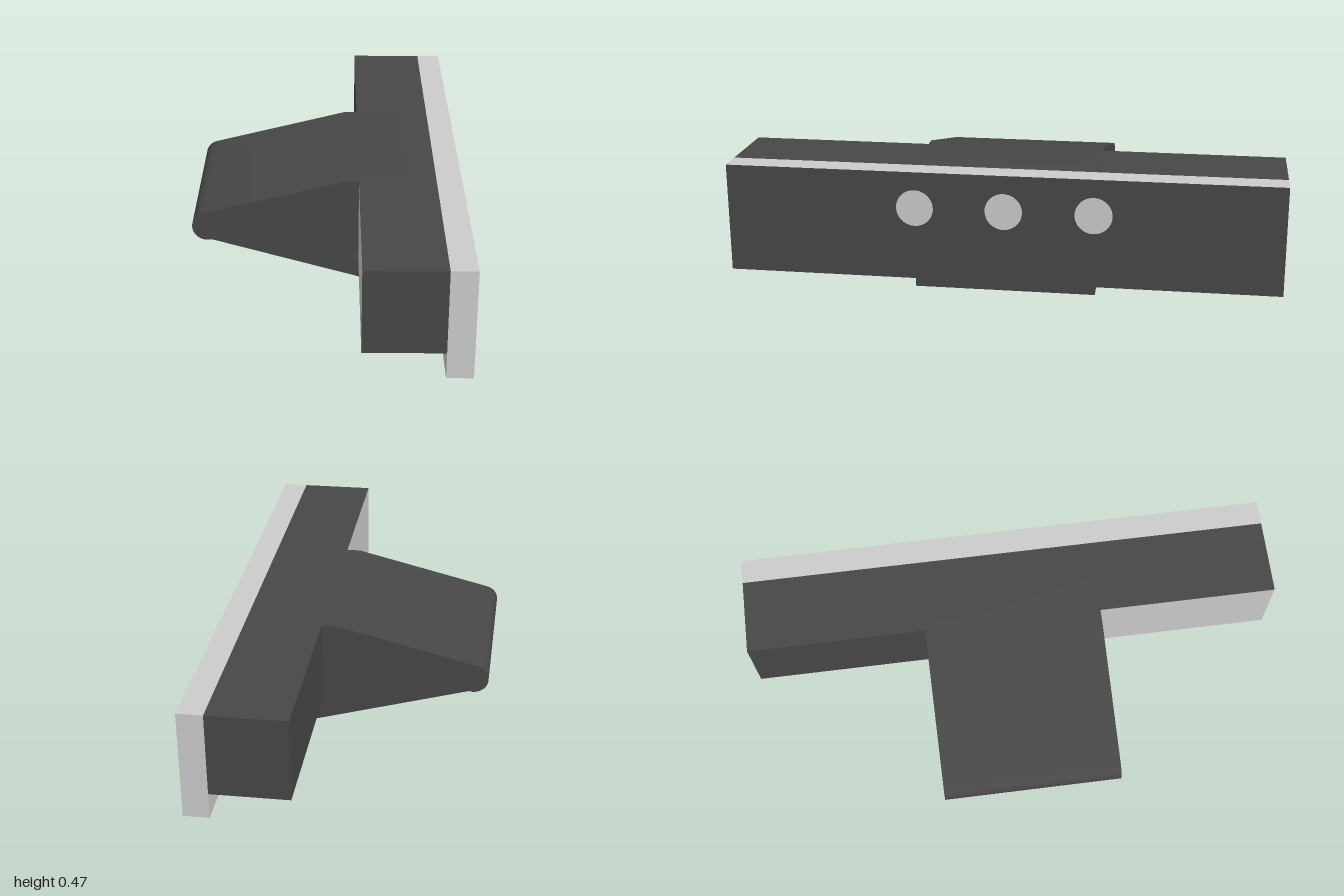
import * as THREE from 'three';
import { toCreasedNormals } from 'three/addons/utils/BufferGeometryUtils.js';

const grey = new THREE.MeshStandardMaterial({ color: 0xcccccc });
const dark = new THREE.MeshStandardMaterial({ color: 0x474747 });

const TOP = 0.468, PLATE_BACK = 0.398, PLATE_FRONT = 0.49, HALF = 0.332;

// Box given by its minimum and maximum corners
function box(name, min, max, material) {
  const size = max.map((v, i) => v - min[i]);
  const mesh = new THREE.Mesh(new THREE.BoxGeometry(...size), material);
  mesh.position.set(...max.map((v, i) => (v + min[i]) / 2));
  mesh.name = name;
  return mesh;
}

export function createModel() {
  const model = new THREE.Group();
  model.name = 'model';

  // Tapered body with a rounded nose, extruded across z
  const profile = new THREE.Shape();
  profile.moveTo(PLATE_BACK, 0.001);
  profile.lineTo(PLATE_BACK, TOP);
  profile.lineTo(0.067, TOP);
  profile.absarc(-0.436, 0.287, 0.055, 1.81, 1.81 + Math.PI * 1.012, false);
  profile.closePath();
  const bodyGeometry = new THREE.ExtrudeGeometry(profile, {
    depth: 2 * HALF, bevelEnabled: false, curveSegments: 24,
  });
  bodyGeometry.translate(0, 0, -HALF);
  const body = new THREE.Mesh(toCreasedNormals(bodyGeometry, 0.4), dark);
  body.name = 'taperedBody';
  model.add(body);

  // Beam arms on both sides of the body; one has a grey rear face
  model.add(box('frontArm', [0.118, 0.164, HALF], [PLATE_BACK, TOP, 1],
    [dark, grey, dark, dark, dark, dark]));
  model.add(box('rearArm', [0.118, 0.164, -1], [PLATE_BACK, TOP, -HALF], dark));

  // Face plate: grey with a dark outer face
  model.add(box('facePlate', [PLATE_BACK, 0.068, -1], [PLATE_FRONT, TOP, 1],
    [dark, grey, grey, grey, grey, grey]));

  // Three round discs on the plate
  for (const z of [0.31, -0.01, -0.33]) {
    const disc = new THREE.Mesh(new THREE.CircleGeometry(0.067, 40), grey);
    disc.rotation.y = Math.PI / 2;
    disc.position.set(PLATE_FRONT + 0.001, 0.335, z);
    disc.name = 'disc';
    model.add(disc);
  }
  return model;
}
